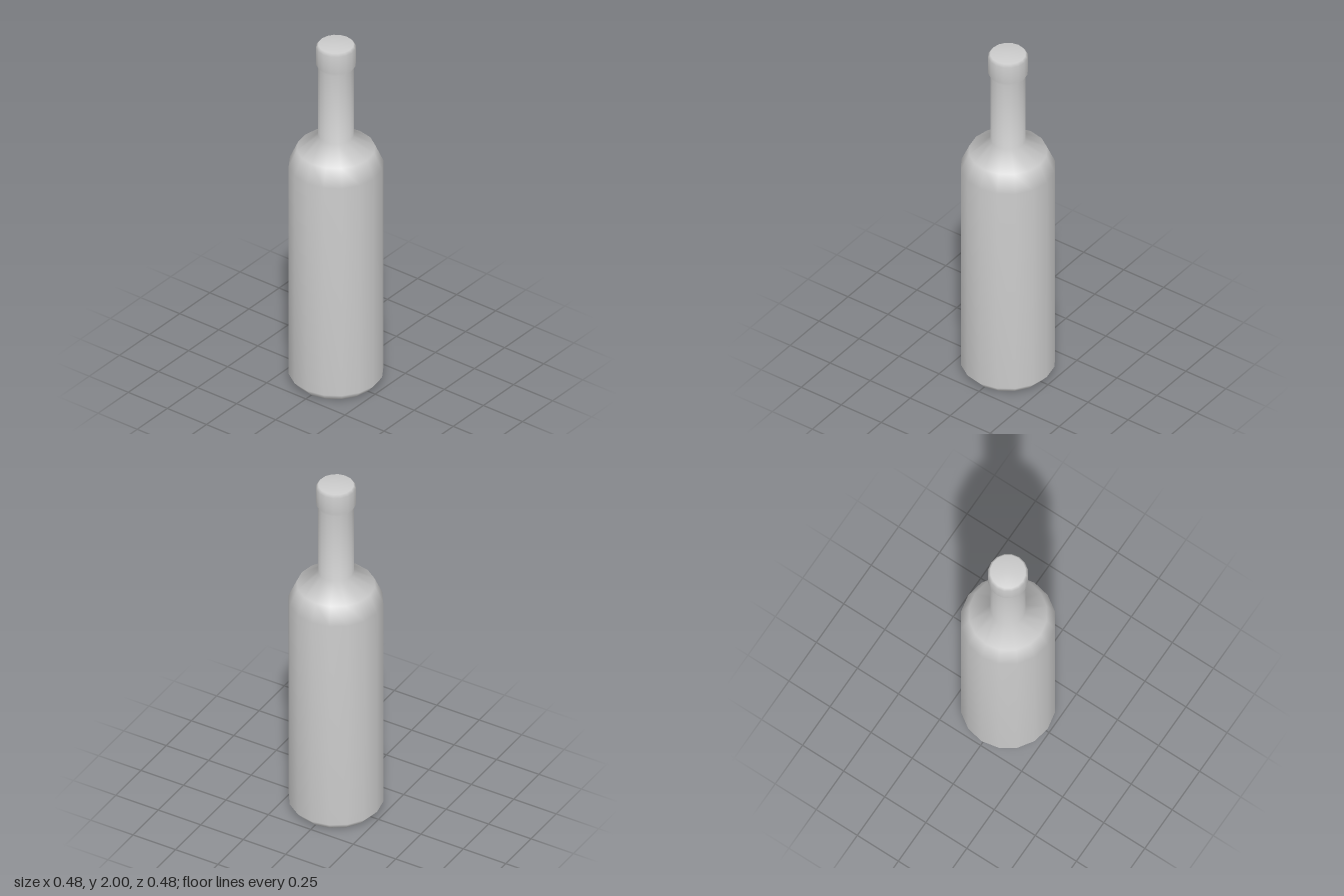
import * as THREE from 'three';
import { mergeVertices } from 'three/addons/utils/BufferGeometryUtils.js';

const SIDES = 16;

// Lathe with the seam and poles welded, so shading is smooth all over
function smoothLathe(profile) {
  const lathe = new THREE.LatheGeometry(profile.map(([r, y]) => new THREE.Vector2(r, y)), SIDES);
  lathe.deleteAttribute('normal');
  lathe.deleteAttribute('uv');
  const geometry = mergeVertices(lathe, 1e-4);
  geometry.computeVertexNormals();
  return geometry;
}

export function createModel() {
  const group = new THREE.Group();
  group.name = 'bottle';

  // Profile as [radius, height], from the base centre to the top centre
  const profile = [
    [0, 0], [0.203, 0], [0.242, 0.045],      // base and its bevel
    [0.242, 1.285], [0.2, 1.38],             // body and shoulder
    [0.091, 1.458], [0.091, 1.865],          // neck
    [0.102, 1.885], [0.102, 1.985],          // lip
    [0.09, 2], [0, 2],                       // closed top
  ];
  const material = new THREE.MeshStandardMaterial({ color: 0xcccccc });
  const bottle = new THREE.Mesh(smoothLathe(profile), material);
  bottle.name = 'bottleBody';
  group.add(bottle);

  return group;
}
